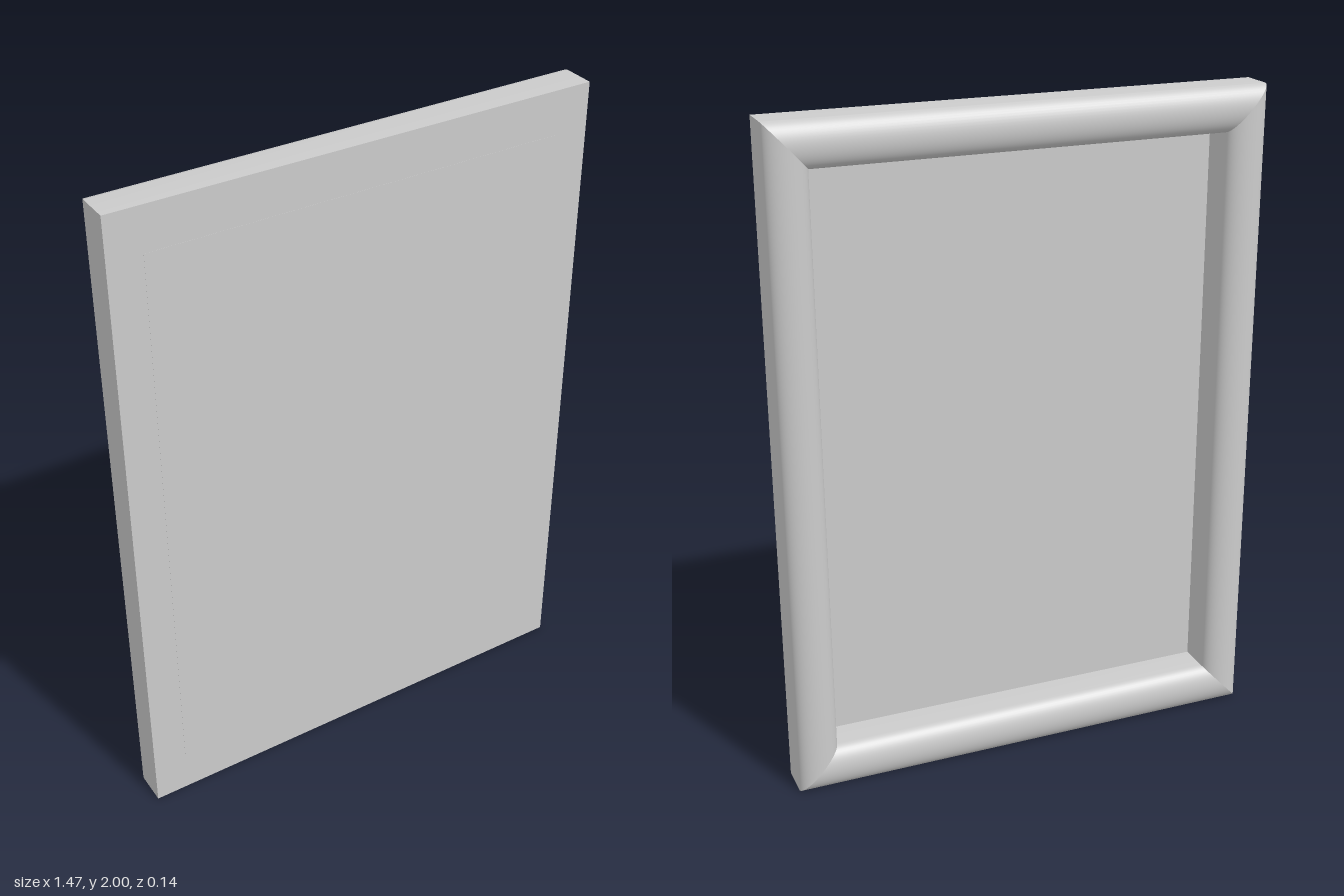
import * as THREE from 'three';
import { toCreasedNormals } from 'three/addons/utils/BufferGeometryUtils.js';

const HALF_W = 0.735, HALF_H = 1;      // outer half size
const IN_W = 0.613, IN_H = 0.868;      // half size of the opening
const FRONT = 0.068, SHOULDER = -0.028, CROWN = 0.042;

// Moulding section: [share of the way from outer to inner edge, z]
function mouldingProfile(steps = 24) {
  const pts = [[0, FRONT]];
  for (let i = 0; i <= steps; i++) {
    const a = (Math.PI * i) / steps;
    pts.push([(1 - Math.cos(a)) / 2, SHOULDER - CROWN * Math.sin(a)]);
  }
  pts.push([1, FRONT]);
  return pts;
}

// One mitred bar between two corners, given as signs [x, y]
function barGeometry(from, to, profile) {
  const at = ([sx, sy], [t, z]) => [
    sx * THREE.MathUtils.lerp(HALF_W, IN_W, t),
    1 + sy * THREE.MathUtils.lerp(HALF_H, IN_H, t),
    z,
  ];
  const pos = [];
  profile.forEach((p, i) => {
    const q = profile[(i + 1) % profile.length];
    const a = at(from, p), b = at(to, p), c = at(from, q), d = at(to, q);
    pos.push(...a, ...c, ...b, ...b, ...c, ...d);
  });
  const geo = new THREE.BufferGeometry();
  geo.setAttribute('position', new THREE.Float32BufferAttribute(pos, 3));
  return toCreasedNormals(geo, 0.6);
}

export function createModel() {
  const model = new THREE.Group();
  model.name = 'pictureFrame';
  const material = new THREE.MeshStandardMaterial({ color: 0xcccccc });

  // Four mitred bars with a rounded crown
  const profile = mouldingProfile();
  const corners = [[1, -1], [1, 1], [-1, 1], [-1, -1]];
  ['leftBar', 'topBar', 'rightBar', 'bottomBar'].forEach((name, i) => {
    const bar = new THREE.Mesh(barGeometry(corners[i], corners[(i + 1) % 4], profile), material);
    bar.name = name;
    model.add(bar);
  });

  // Thin panel closing the opening, lapping slightly over the side bars
  const panel = new THREE.Mesh(new THREE.BoxGeometry(1.266, 2 * IN_H, 0.006), material);
  panel.name = 'panel';
  panel.position.set(0, 1, FRONT - 0.0025);
  model.add(panel);

  return model;
}
